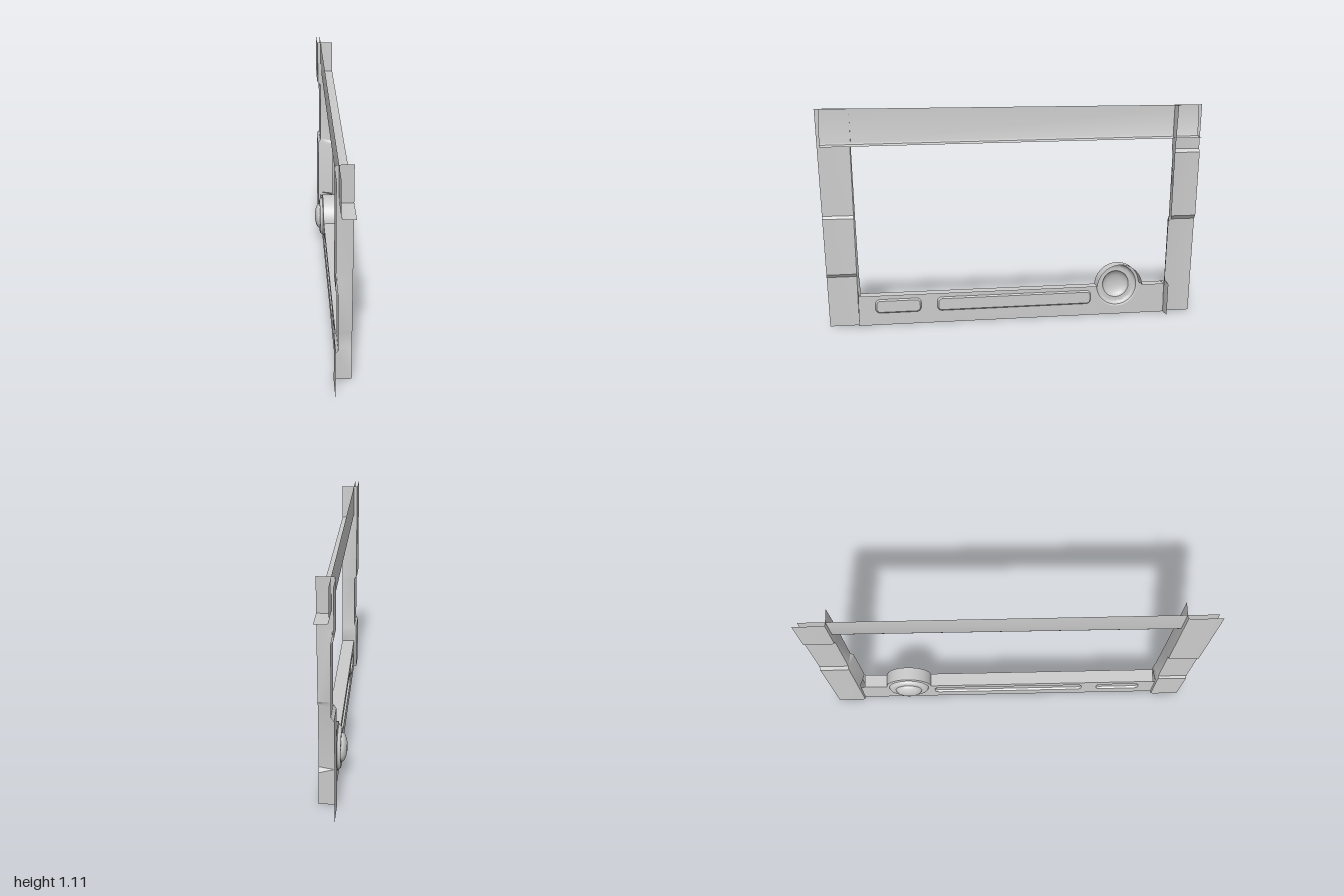
import * as THREE from 'three';
import { toCreasedNormals } from 'three/addons/utils/BufferGeometryUtils.js';

const material = new THREE.MeshStandardMaterial({ color: 0xcccccc, side: THREE.DoubleSide });
const RAIL_X = -0.015, EDGE_X = 0.055;
const WHEEL = { z: -0.548, y: 0.16, r: 0.122 };

function addMesh(parent, name, geometry) {
  const mesh = new THREE.Mesh(geometry, material);
  mesh.name = name;
  parent.add(mesh);
}

// Sheet surface through rows of [x, y, z] points
function sheet(rows) {
  const n = rows[0].length, index = [];
  for (let i = 0; i < rows.length - 1; i++) {
    for (let j = 0; j < n - 1; j++) {
      const a = i * n + j, b = a + n;
      index.push(a, b, a + 1, b, b + 1, a + 1);
    }
  }
  const g = new THREE.BufferGeometry();
  g.setAttribute('position', new THREE.Float32BufferAttribute(rows.flat(2), 3));
  g.setIndex(index);
  g.computeVertexNormals();
  return toCreasedNormals(g, 0.6);
}

// Flat shape drawn in (z, y), placed at a given x
function flat(shape, x) {
  const g = new THREE.ShapeGeometry(shape, 12);
  const p = g.attributes.position;
  for (let i = 0; i < p.count; i++) p.setXYZ(i, x, p.getY(i), p.getX(i));
  g.computeVertexNormals();
  return g;
}

// Closed rounded rectangle in (z, y)
function roundedLoop(z0, z1, y0, y1, r) {
  const points = [];
  const corners = [[z1 - r, y1 - r], [z0 + r, y1 - r], [z0 + r, y0 + r], [z1 - r, y0 + r]];
  corners.forEach(([z, y], c) => {
    for (let k = 0; k <= 5; k++) {
      const a = (c + k / 5) * Math.PI / 2;
      points.push(new THREE.Vector2(z + r * Math.cos(a), y + r * Math.sin(a)));
    }
  });
  points.push(points[0].clone());
  return points;
}

// Post: stepped outer plate, bent into an inward flange; side = sign of z
function post(side, levels, inner0, inner1) {
  return sheet(levels.map(([y, x, draft]) => {
    const t = y / 1.11;
    const zOut = 0.955 + 0.045 * t;
    const zIn = inner0 + (inner1 - inner0) * t;
    return [
      [x, y, side * zOut],
      [x, y, side * (zIn + 0.012)],
      [x + 0.003, y, side * (zIn + 0.003)],
      [x + 0.012, y, side * zIn],
      [EDGE_X, y, side * (zIn - draft)],
    ];
  }));
}

export function createModel() {
  const group = new THREE.Group();
  group.name = 'panelFrame';

  // Upright posts: rows of height, plate x, flange slant
  addMesh(group, 'frontPost', post(1, [
    [0, -0.03, 0], [0.165, -0.03, 0], [0.185, -0.03, 0.012], [0.257, -0.03, 0.01],
    [0.272, -0.019, 0.008], [0.558, -0.019, 0.004], [0.572, -0.03, 0.004], [1.11, -0.03, 0],
  ], 0.806, 0.832));
  addMesh(group, 'backPost', post(-1, [
    [0, -0.03, 0], [0.165, -0.03, 0], [0.185, -0.03, 0.022], [0.503, -0.03, 0.02],
    [0.522, -0.016, 0.006], [0.86, -0.016, 0.006], [0.878, -0.03, 0.006], [1.11, -0.03, 0],
  ], 0.808, 0.845));

  // Top rail: upright plate bent into a level flange
  addMesh(group, 'topRail', sheet([[0.98, 0.928], [-0.975, 0.944]].map(([z, y]) => [
    [-0.01, 1.11, z], [-0.01, y + 0.014, z], [-0.007, y + 0.004, z], [0.002, y, z], [EDGE_X, y, z],
  ])));

  // Bottom rail upper edge, arching over the round housing
  const edge = [[0.8, 0.17]];
  const start = Math.asin((0.17 - WHEEL.y) / WHEEL.r);
  for (let i = 0; i <= 24; i++) {
    const a = start + (Math.PI - 2 * start) * i / 24;
    edge.push([WHEEL.z + WHEEL.r * Math.cos(a), WHEEL.y + WHEEL.r * Math.sin(a)]);
  }
  edge.push([-0.79, 0.17]);

  const plate = new THREE.Shape();
  plate.moveTo(0.81, 0);
  edge.forEach(([z, y], i) => plate.lineTo(i === 0 ? 0.81 : i === edge.length - 1 ? -0.81 : z, y));
  plate.lineTo(-0.81, 0);
  const opening = new THREE.Path();
  opening.absarc(WHEEL.z, WHEEL.y, 0.117, 0, Math.PI * 2, true);
  plate.holes.push(opening);

  // Pressed beads in the bottom rail
  [['shortBead', 0.49, 0.725], ['longBead', -0.408, 0.408]].forEach(([name, z0, z1]) => {
    const outer = roundedLoop(z0, z1, 0.062, 0.134, 0.024);
    const inner = roundedLoop(z0 + 0.007, z1 - 0.007, 0.069, 0.127, 0.017);
    plate.holes.push(new THREE.Path(outer));
    addMesh(group, name + 'Wall', sheet([
      outer.map((p) => [RAIL_X, p.y, p.x]),
      inner.map((p) => [RAIL_X + 0.011, p.y, p.x]),
    ]));
    addMesh(group, name + 'Floor', flat(new THREE.Shape(inner), RAIL_X + 0.011));
  });
  addMesh(group, 'bottomRailPlate', flat(plate, RAIL_X));

  // Ledge following the upper edge
  addMesh(group, 'bottomRailFlange', sheet(edge.map(([z, y]) => [[RAIL_X, y, z], [EDGE_X, y, z]])));

  // Round housing: stepped dish with a domed centre facing -x
  const profile = [
    [0, 0.061], [0.025, 0.0595], [0.045, 0.055], [0.06, 0.048], [0.068, 0.04], [0.071, 0.033],
    [0.079, 0.033], [0.093, 0.034], [0.1, 0.031], [0.104, 0.025], [0.108, 0.018], [0.117, 0.015],
  ].map(([r, h]) => new THREE.Vector2(r, h));
  const dish = new THREE.LatheGeometry(profile, 48);
  dish.rotateZ(Math.PI / 2);
  dish.translate(0, WHEEL.y, WHEEL.z);
  addMesh(group, 'roundHousing', toCreasedNormals(dish, 0.7));

  return group;
}
